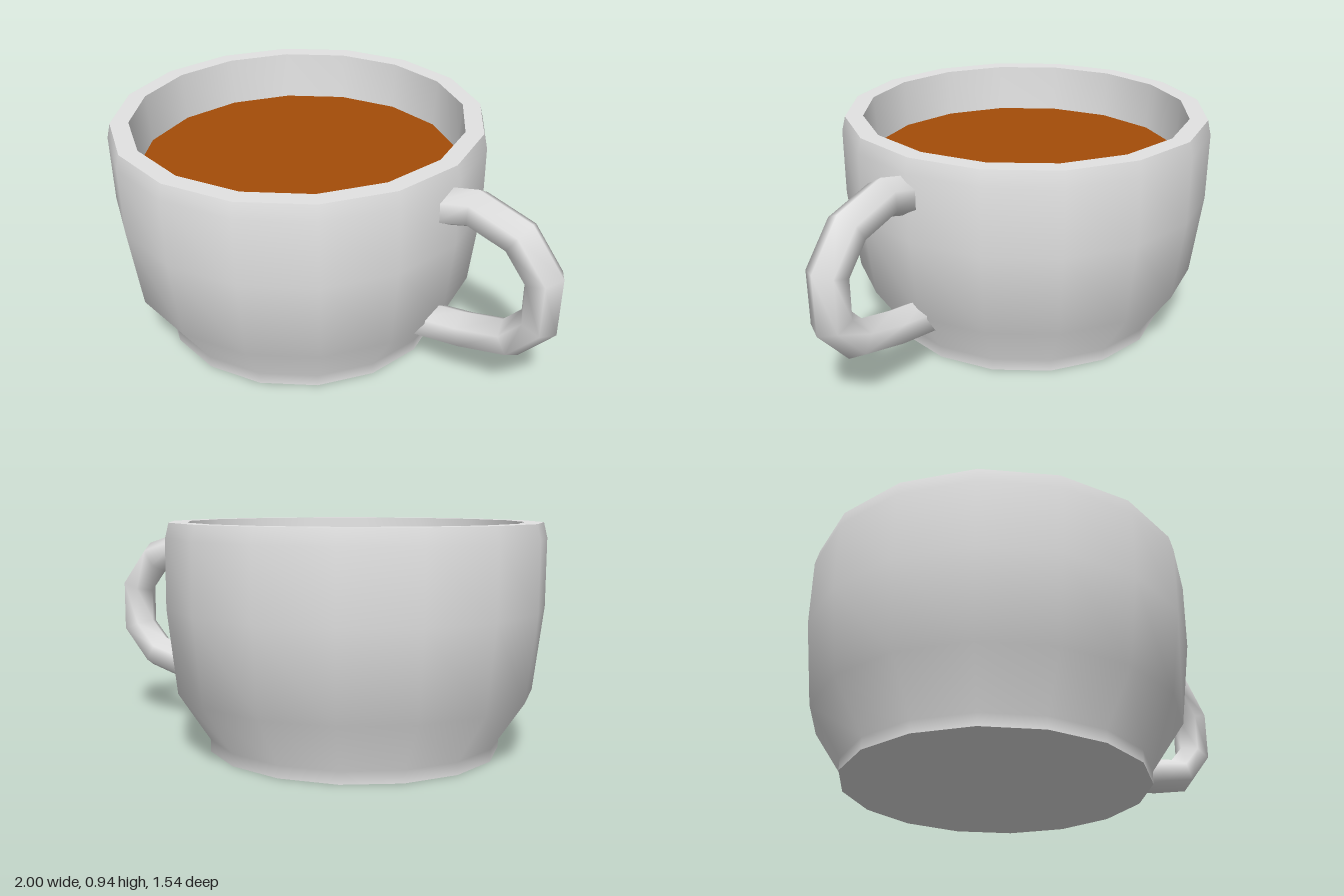
import * as THREE from 'three';
import { toCreasedNormals } from 'three/addons/utils/BufferGeometryUtils.js';

const SIDES = 16;
const STEP = Math.PI / SIDES;
const CUP_X = -0.23;

// Lathe a profile of [flat-to-flat half width, height] into a 16-sided body
function lathe(profile) {
  const points = profile.map(([a, y]) => new THREE.Vector2(a / Math.cos(STEP), y));
  return toCreasedNormals(new THREE.LatheGeometry(points, SIDES, STEP), Math.PI / 4);
}

// Sweep a six-sided ring along a path in the xy plane, with closed ends
function sweep(path, radius, sides = 6) {
  const pos = [], index = [];
  const n = path.length;
  path.forEach(([x, y], i) => {
    const a = path[Math.max(i - 1, 0)], b = path[Math.min(i + 1, n - 1)];
    const t = new THREE.Vector2(b[0] - a[0], b[1] - a[1]).normalize();
    for (let j = 0; j < sides; j++) {
      const ang = (j / sides) * Math.PI * 2;
      const u = Math.cos(ang) * radius;
      pos.push(x - t.y * u, y + t.x * u, Math.sin(ang) * radius);
      if (i < n - 1) {
        const k = (j + 1) % sides;
        const p = i * sides + j, q = i * sides + k;
        index.push(p, q, p + sides, q, q + sides, p + sides);
      }
    }
  });
  const last = (n - 1) * sides;
  for (let j = 1; j < sides - 1; j++) {
    index.push(0, j + 1, j, last, last + j, last + j + 1);
  }
  const geo = new THREE.BufferGeometry();
  geo.setAttribute('position', new THREE.Float32BufferAttribute(pos, 3));
  geo.setIndex(index);
  return toCreasedNormals(geo, Math.PI * 0.42);
}

export function createModel() {
  const ceramic = new THREE.MeshStandardMaterial({ color: 0xe2e2e2 });
  ceramic.name = 'ceramic';
  const drink = new THREE.MeshStandardMaterial({ color: 0xa44c08 });
  drink.name = 'drink';

  const group = new THREE.Group();
  group.name = 'cup';
  const add = (name, geo, mat, x, y, z) => {
    const mesh = new THREE.Mesh(geo, mat);
    mesh.name = name;
    mesh.position.set(x, y, z);
    group.add(mesh);
    return mesh;
  };

  // Outer wall, flat rim, inner wall and floor
  add('cupBody', lathe([
    [0, 0], [0.603, 0], [0.603, 0.05], [0.732, 0.25], [0.772, 0.6], [0.772, 0.88],
    [0.757, 0.943], [0.683, 0.943], [0.67, 0.72], [0.63, 0.28], [0.52, 0.1], [0, 0.1],
  ]), ceramic, CUP_X, 0, 0);

  // Liquid surface
  const surface = new THREE.CircleGeometry(0.671 / Math.cos(STEP), SIDES, STEP);
  surface.rotateX(-Math.PI / 2);
  add('liquid', surface, drink, CUP_X, 0.735, 0);

  // Handle, lying in a plane turned towards the front
  const handle = add('handle', sweep([
    [0.735, 0.775], [0.877, 0.812], [1.067, 0.757], [1.178, 0.62],
    [1.178, 0.425], [1.067, 0.302], [0.87, 0.25], [0.66, 0.215],
  ], 0.08), ceramic, CUP_X, 0, 0.033);
  handle.rotation.y = -STEP;

  return group;
}
